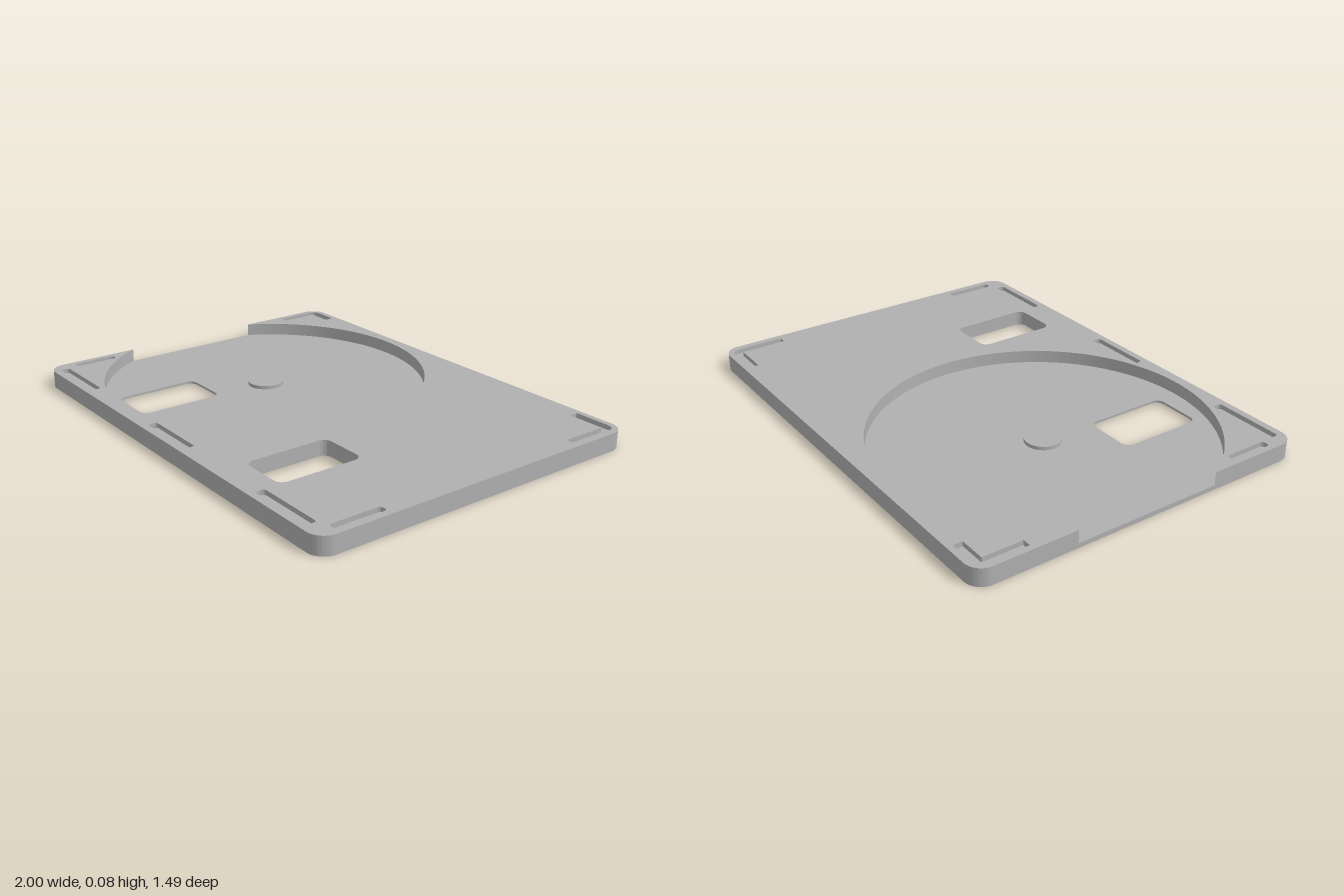
import * as THREE from 'three';
import { toCreasedNormals } from 'three/addons/utils/BufferGeometryUtils.js';

// Plan drawings use (x, -z), so the back of the tray is +y in each shape.
const HALF_W = 1, HALF_D = 0.745, CORNER = 0.07;
const FLOOR = 0.02, SLOT_FLOOR = 0.055, TOP = 0.075;
const DISC_X = -0.378, DISC_R = 0.7;

// Rounded rectangle between two x and two z values
function roundedRect(Type, x0, x1, z0, z1, r) {
  const p = new Type(), b = -z1, t = -z0;
  p.moveTo(x0 + r, b);
  p.lineTo(x1 - r, b);
  p.absarc(x1 - r, b + r, r, -Math.PI / 2, 0);
  p.lineTo(x1, t - r);
  p.absarc(x1 - r, t - r, r, 0, Math.PI / 2);
  p.lineTo(x0 + r, t);
  p.absarc(x0 + r, t - r, r, Math.PI / 2, Math.PI);
  p.lineTo(x0, b + r);
  p.absarc(x0 + r, b + r, r, Math.PI, Math.PI * 1.5);
  return p;
}

// Tray outline with the disc circle bitten out through the left edge
function cutOutline() {
  const s = new THREE.Shape(), r = CORNER, w = HALF_W, d = HALF_D;
  const dx = -w - DISC_X;
  const a = Math.atan2(Math.sqrt(DISC_R ** 2 - dx ** 2), dx);
  s.moveTo(-w + r, -d);
  s.lineTo(w - r, -d);
  s.absarc(w - r, -d + r, r, -Math.PI / 2, 0);
  s.lineTo(w, d - r);
  s.absarc(w - r, d - r, r, 0, Math.PI / 2);
  s.lineTo(-w + r, d);
  s.absarc(-w + r, d - r, r, Math.PI / 2, Math.PI);
  for (let i = 0; i <= 96; i++) {
    const t = a - (i / 96) * 2 * a;
    s.lineTo(DISC_X + DISC_R * Math.cos(t), DISC_R * Math.sin(t));
  }
  s.lineTo(-w, -d + r);
  s.absarc(-w + r, -d + r, r, Math.PI, Math.PI * 1.5);
  return s;
}

// L-shaped corner slot with a rounded outer corner; side is -1 or 1
function cornerSlot(side, outer, inner, armX, armZ) {
  const p = new THREE.Path(), back = 0.72, w = 0.04, r = 0.04;
  p.moveTo(side * armX, back);
  p.lineTo(side * (outer - r), back);
  p.quadraticCurveTo(side * outer, back, side * outer, back - r);
  p.lineTo(side * outer, -armZ);
  p.lineTo(side * inner, -armZ);
  p.lineTo(side * inner, back - w);
  p.lineTo(side * armX, back - w);
  p.closePath();
  return p;
}

export function createModel() {
  const group = new THREE.Group();
  const grey = new THREE.MeshStandardMaterial({ color: 0xb0b0b0 });
  grey.name = 'grey plastic';

  const addPart = (name, geometry) => {
    const mesh = new THREE.Mesh(geometry, grey);
    mesh.name = name;
    group.add(mesh);
    return mesh;
  };
  const addLayer = (name, shape, holes, y0, y1) => {
    shape.holes.push(...holes);
    const g = new THREE.ExtrudeGeometry(shape, { depth: y1 - y0, bevelEnabled: false, curveSegments: 10 });
    g.rotateX(-Math.PI / 2);
    g.translate(0, y0, 0);
    addPart(name, toCreasedNormals(g, 0.6));
  };

  const outline = () => roundedRect(THREE.Shape, -HALF_W, HALF_W, -HALF_D, HALF_D, CORNER);
  const window = (x0, x1, grow = 0) =>
    roundedRect(THREE.Path, x0 - grow, x1 + grow, 0.24 - grow, 0.61 + grow, 0.035);
  const leftWindow = (grow) => window(-0.605, -0.38, grow);
  const rightWindow = (grow) => window(0.375, 0.595, grow);

  // Grooves in the top face
  const slots = [
    [-0.94, -0.63, 0.675, 0.715],
    [-0.15, 0.135, 0.675, 0.715],
    [0.595, 0.895, 0.675, 0.715],
    [-0.975, -0.94, 0.44, 0.63],
    [0.935, 0.97, 0.44, 0.66],
  ].map(([x0, x1, z0, z1]) => roundedRect(THREE.Path, x0, x1, z0, z1, 0.012));
  slots.push(cornerSlot(-1, 0.975, 0.94, 0.83, -0.51), cornerSlot(1, 0.97, 0.935, 0.775, -0.48));

  // Floor, with a wider step around each window underneath
  addLayer('bottomStep', outline(), [leftWindow(0.025), rightWindow(0.025)], 0, 0.01);
  addLayer('discFloor', outline(), [leftWindow(), rightWindow()], 0.01, FLOOR);

  // Body around the disc recess, then the slotted top
  addLayer('body', cutOutline(), [rightWindow()], FLOOR, SLOT_FLOOR);
  addLayer('slottedTop', cutOutline(), [rightWindow(), ...slots], SLOT_FLOOR, TOP);

  // Low hub in the middle of the recess
  const hub = addPart('hub', new THREE.CylinderGeometry(0.076, 0.076, 0.015, 48));
  hub.position.set(DISC_X, FLOOR + 0.0075, 0);

  return group;
}
